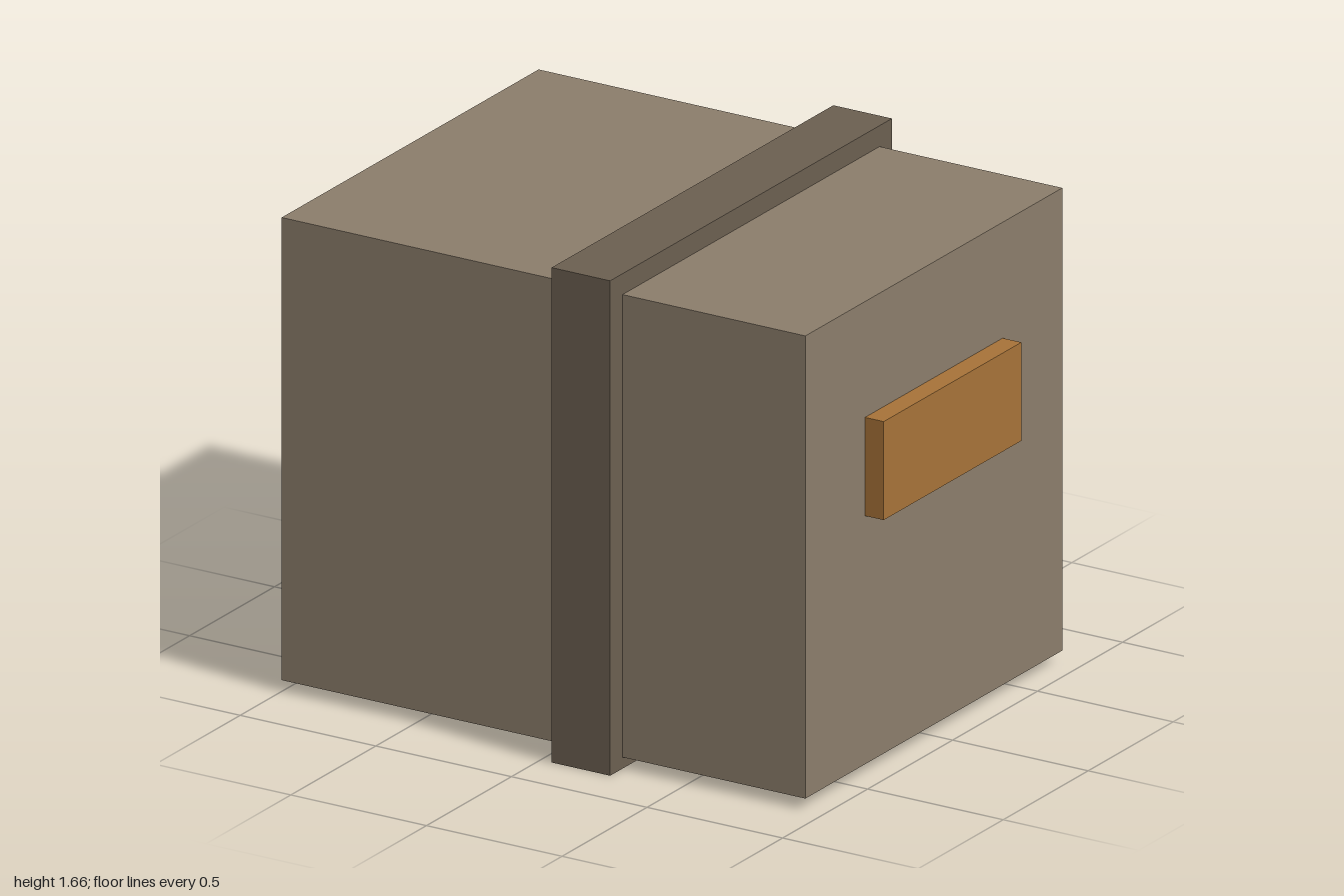
import * as THREE from 'three';

// Box given by its min and max extents on each axis
function box(name, color, [x0, x1], [y0, y1], [z0, z1]) {
  const mesh = new THREE.Mesh(
    new THREE.BoxGeometry(x1 - x0, y1 - y0, z1 - z0),
    new THREE.MeshStandardMaterial({ color })
  );
  mesh.position.set((x0 + x1) / 2, (y0 + y1) / 2, (z0 + z1) / 2);
  mesh.name = name;
  return mesh;
}

export function createModel() {
  const group = new THREE.Group();
  group.name = 'crate';

  // Main crate body
  group.add(box('body', 0x8b7d6b, [-1, 0.931], [0.038, 1.588], [-0.756, 0.756]));

  // Raised band wrapping the body
  group.add(box('band', 0x6b5f50, [0.041, 0.257], [0, 1.658], [-0.829, 0.829]));

  // Plate on the left end
  group.add(box('endPlate', 0xa67238, [0.931, 1], [0.87, 1.2], [-0.405, 0.405]));

  return group;
}
